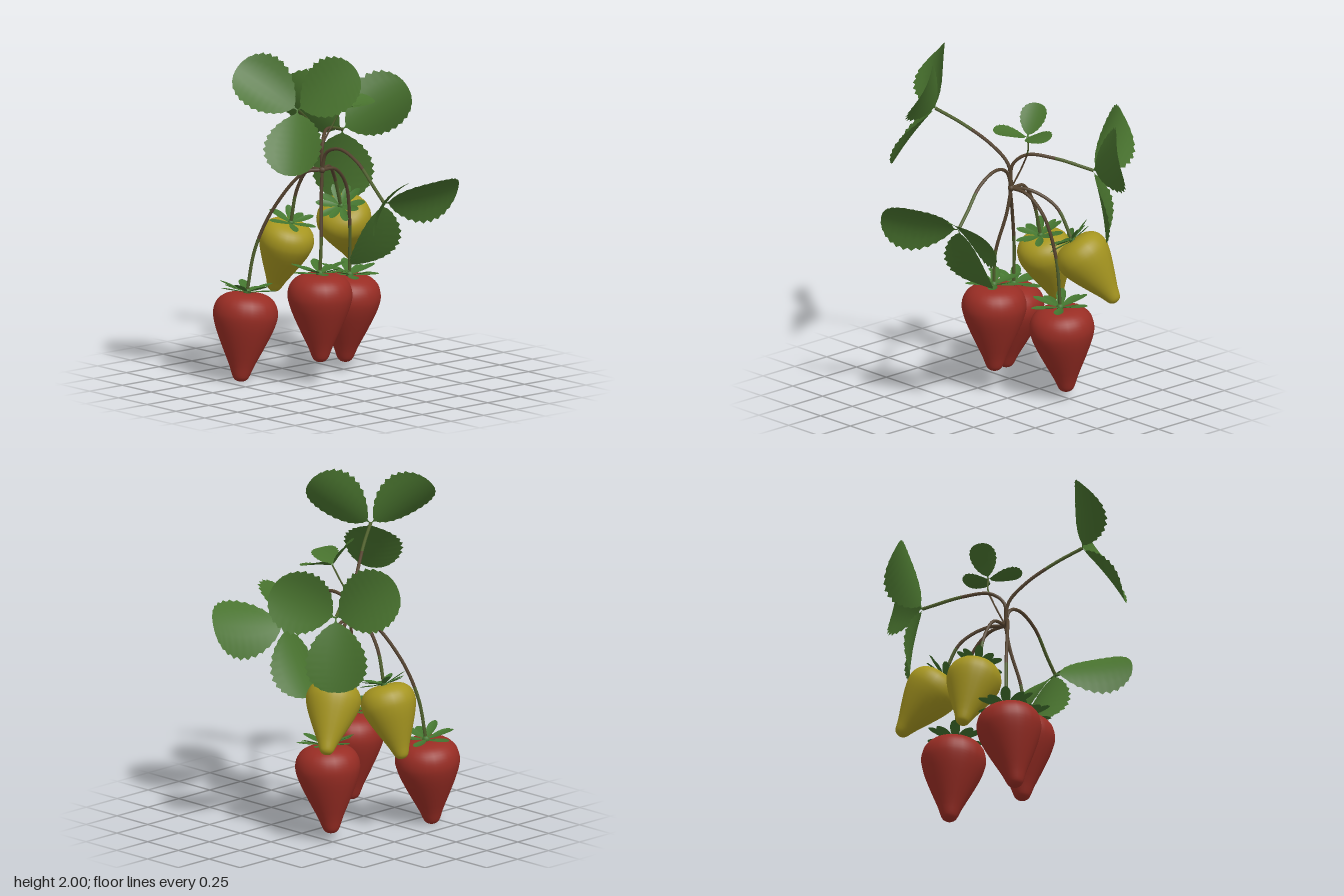
import * as THREE from 'three';

const V = (x, y, z) => new THREE.Vector3(x, y, z);
const material = (name, color, side = THREE.FrontSide) => {
  const m = new THREE.MeshStandardMaterial({ color, side });
  m.name = name;
  return m;
};

// Blade along +y, width along x, upper side +z: short stalk, serrated edge, cupped sides, bent tip
function bladeGeometry(length, width, { rows = 30, tooth = 0, cup = 0, bend = 0, stalk = 0, p = 0.7, q = 0.45 }) {
  const cols = 6, pos = [], index = [];
  const peak = Math.pow(p / (p + q), p) * Math.pow(q / (p + q), q);
  for (let i = 0; i <= rows; i++) {
    const s = (1 - Math.cos((Math.PI * i) / rows)) / 2;
    const b = Math.max(0, (s - stalk) / (1 - stalk));
    const swell = Math.pow(b, p) * Math.pow(1 - b, q) / peak;
    const half = Math.max(width / 2 * swell - (i % 2 ? tooth * Math.min(1, swell) : 0), 0.004);
    for (let j = 0; j <= cols; j++) {
      const x = half * ((j / cols) * 2 - 1);
      const k = x / (width / 2);
      pos.push(x, s * length, cup * k * k + bend * s * s);
      if (i < rows && j < cols) {
        const a = i * (cols + 1) + j, c = a + cols + 1;
        index.push(a, a + 1, c, a + 1, c + 1, c);
      }
    }
  }
  const g = new THREE.BufferGeometry();
  g.setAttribute('position', new THREE.Float32BufferAttribute(pos, 3));
  g.setIndex(index);
  g.computeVertexNormals();
  return g;
}

// Place a blade at a point, growing along a direction with its upper side facing up
function placeBlade(geometry, mat, name, at, along, up) {
  const a = along.clone().normalize();
  const w = a.clone().cross(up).normalize();
  const mesh = new THREE.Mesh(geometry, mat);
  mesh.name = name;
  mesh.quaternion.setFromRotationMatrix(new THREE.Matrix4().makeBasis(w, a, w.clone().cross(a)));
  mesh.position.copy(at);
  return mesh;
}

export function createModel() {
  const model = new THREE.Group();
  model.name = 'strawberryPlant';
  const red = material('ripe red', 0x992d24);
  const yellow = material('unripe yellow', 0xa69620);
  const leafGreen = material('leaf green', 0x48722e, THREE.DoubleSide);
  const sepalGreen = material('sepal green', 0x44752f, THREE.DoubleSide);
  const brown = material('stem brown', 0x55432f);
  const olive = material('stem green', 0x4f5f2c);
  const crown = V(-0.06, 1.25, -0.085);

  // Stem: brown near the crown, green towards its end
  function stem(name, points, radius = 0.01) {
    const segs = 28, sides = 7, split = 18;
    const curve = new THREE.CatmullRomCurve3([crown, ...points]);
    const g = new THREE.TubeGeometry(curve, segs, radius, sides);
    g.addGroup(0, split * sides * 6, 0);
    g.addGroup(split * sides * 6, (segs - split) * sides * 6, 1);
    const mesh = new THREE.Mesh(g, [brown, olive]);
    mesh.name = name;
    model.add(mesh);
  }

  // Fruit: body hangs down from the origin, sepals around its top
  const outline = [[0, -0.515], [0.022, -0.511], [0.04, -0.498], [0.052, -0.475], [0.073, -0.42],
    [0.122, -0.315], [0.163, -0.22], [0.182, -0.16], [0.187, -0.12], [0.181, -0.08],
    [0.164, -0.046], [0.133, -0.018], [0.09, -0.002], [0.045, 0], [0, -0.004]];
  const profile = new THREE.SplineCurve(outline.map(([x, y]) => new THREE.Vector2(x, y)))
    .getPoints(32).map((v) => new THREE.Vector2(Math.max(v.x, 0), v.y));
  const fruitGeometry = new THREE.LatheGeometry(profile, 24);
  const sepalGeometry = bladeGeometry(0.17, 0.058, { rows: 12, cup: 0.006, bend: 0.018, p: 1, q: 0.55 });

  function fruit(name, mat, base, tip, size, stemPoints) {
    const group = new THREE.Group();
    group.name = name;
    const body = new THREE.Mesh(fruitGeometry, mat);
    body.name = 'fruitBody';
    group.add(body);
    for (let i = 0; i < 10; i++) {
      const t = (i / 10) * Math.PI * 2 + 0.2;
      const lift = i % 2 ? 0 : 0.2;
      group.add(placeBlade(sepalGeometry, sepalGreen, 'sepal', V(0, 0.006, 0),
        V(Math.cos(t), lift, Math.sin(t)), V(0, 1, 0)));
    }
    const cap = new THREE.Mesh(new THREE.SphereGeometry(0.022, 10, 8), sepalGreen);
    cap.name = 'sepalCap';
    cap.position.y = 0.004;
    group.add(cap);
    group.position.copy(base);
    group.quaternion.setFromUnitVectors(V(0, -1, 0), tip.clone().sub(base).normalize());
    group.scale.setScalar(size);
    model.add(group);
    stem(name + 'Stem', [...stemPoints, base]);
  }

  fruit('redFruitRight', red, V(-0.365, 0.525, -0.39), V(-0.425, 0.01, -0.38), 1,
    [V(-0.14, 1.235, -0.15), V(-0.26, 1.02, -0.28), V(-0.33, 0.78, -0.36)]);
  fruit('redFruitFront', red, V(-0.135, 0.66, -0.02), V(-0.13, 0.15, -0.02), 1,
    [V(-0.08, 1.1, -0.07), V(-0.125, 0.85, -0.02)]);
  fruit('redFruitLeft', red, V(0.24, 0.575, -0.19), V(0.245, 0.065, -0.235), 1,
    [V(0.05, 1.24, -0.1), V(0.16, 1.13, -0.13), V(0.225, 0.88, -0.17)]);
  fruit('yellowFruitLeft', yellow, V(0.25, 0.965, -0.275), V(0.46, 0.63, -0.41), 0.85,
    [V(0.04, 1.25, -0.14), V(0.16, 1.16, -0.23)]);
  fruit('yellowFruitBack', yellow, V(-0.08, 0.9, -0.335), V(-0.09, 0.48, -0.48), 0.85,
    [V(-0.07, 1.24, -0.19), V(-0.08, 1.11, -0.28)]);

  // Leaf of three leaflets, each given by its direction and its upper side
  const leafGeometry = bladeGeometry(0.43, 0.365, { tooth: 0.016, cup: 0.05, bend: -0.045, stalk: 0.06 });
  const youngGeometry = bladeGeometry(0.21, 0.16, { rows: 24, tooth: 0.006, cup: 0.015, bend: -0.02, stalk: 0.06 });
  function leaf(name, geometry, base, leaflets, stemPoints, radius) {
    const group = new THREE.Group();
    group.name = name;
    for (const [along, face, size = 1] of leaflets) {
      const blade = placeBlade(geometry, leafGreen, 'leaflet', base, along, face);
      blade.scale.setScalar(size);
      group.add(blade);
    }
    model.add(group);
    stem(name + 'Stem', [...stemPoints, base], radius);
  }

  leaf('frontLeaf', leafGeometry, V(0, 1.12, 0.385), [
    [V(0, -0.93, -0.36), V(0, -0.4, 0.91)],
    [V(0.89, 0.06, 0.42), V(-0.29, -0.63, 0.69), 1.06],
    [V(-0.62, 0.12, 0.78), V(0.59, -0.52, 0.54), 1.04],
  ], [V(-0.06, 1.355, -0.05), V(-0.045, 1.39, 0.05), V(-0.03, 1.33, 0.19), V(-0.01, 1.2, 0.31)]);
  leaf('rightLeaf', leafGeometry, V(-0.45, 1.69, 0.145), [
    [V(-0.5, -0.74, 0.44), V(-0.6, 0.7, 0.38), 0.96],
    [V(-0.61, 0.61, -0.5), V(-0.325, 0.35, 0.82), 0.98],
    [V(0.41, 0.57, 0.71), V(-0.91, 0.26, 0.32), 0.98],
  ], [V(-0.08, 1.39, -0.08), V(-0.17, 1.5, -0.03), V(-0.31, 1.61, 0.06)]);
  leaf('backLeaf', leafGeometry, V(0.335, 1.39, -0.36), [
    [V(0.18, -0.95, -0.2), V(0.7, 0.3, -0.65)],
    [V(0.85, 0.47, 0.24), V(0.29, -0.05, -0.92), 1.05],
    [V(-0.21, 0.5, -0.84), V(0.945, 0.09, -0.18), 1.04],
  ], [V(-0.055, 1.39, -0.09), V(0.01, 1.455, -0.14), V(0.14, 1.445, -0.235)]);
  leaf('youngLeaf', youngGeometry, V(0.082, 1.595, -0.08), [
    [V(0.2, 0.05, 0.045), V(-0.1, 1, 0.25)],
    [V(-0.08, 0.07, 0.18), V(0.3, 1, -0.25)],
    [V(-0.035, 0.18, -0.11), V(0.4, 0.5, 0.7)],
  ], [V(-0.01, 1.39, -0.13), V(0.05, 1.5, -0.115)], 0.005);

  // Knot where all stems meet
  const knot = new THREE.Mesh(new THREE.SphereGeometry(0.02, 10, 8), brown);
  knot.name = 'crown';
  knot.position.copy(crown);
  model.add(knot);
  return model;
}
